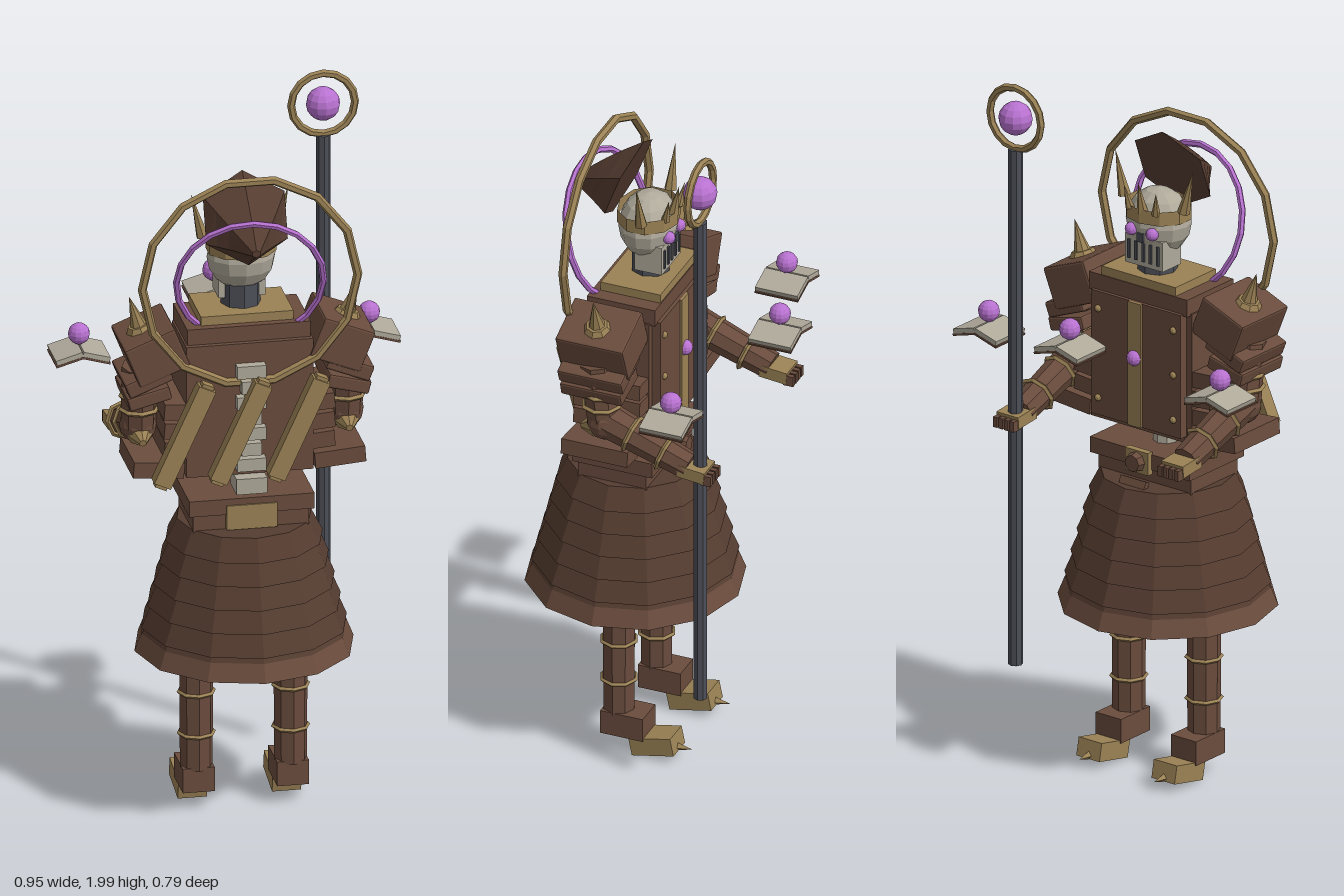
import * as THREE from 'three';
import { RoundedBoxGeometry } from 'three/addons/geometries/RoundedBoxGeometry.js';

const mat = (name, color, flatShading = true) => {
  const m = new THREE.MeshStandardMaterial({ color, flatShading, side: THREE.DoubleSide });
  m.name = name;
  return m;
};

export function createModel() {
  const root = new THREE.Group();
  root.name = 'armouredMage';
  const leather = mat('leather', 0x6a4c3d);
  const cloth = mat('dark cloth', 0x553c30);
  const gold = mat('old gold', 0x9b8255);
  const bone = mat('bone', 0xb0aa9b);
  const violet = mat('violet', 0xb872d0);
  const iron = mat('dark iron', 0x4c4f58);

  // Helpers
  const add = (name, geo, m, p = [0, 0, 0], r = [0, 0, 0], parent = root) => {
    const mesh = new THREE.Mesh(geo, m);
    mesh.name = name;
    mesh.position.set(...p);
    mesh.rotation.set(...r);
    parent.add(mesh);
    return mesh;
  };
  const box = (name, s, m, p, r, parent) => add(name, new THREE.BoxGeometry(...s), m, p, r, parent);
  const plate = (name, s, m, p, r, parent) =>
    add(name, new RoundedBoxGeometry(...s, 1, 0.006), m, p, r, parent);
  const ball = (name, r, m, p, parent) => add(name, new THREE.SphereGeometry(r, 12, 8), m, p, [0, 0, 0], parent);
  const limb = (name, a, b, ra, rb, m, sides = 8) => {
    const A = new THREE.Vector3(...a), B = new THREE.Vector3(...b), d = B.clone().sub(A);
    const mesh = add(name, new THREE.CylinderGeometry(rb, ra, d.length(), sides), m);
    mesh.position.copy(A).add(B).multiplyScalar(0.5);
    mesh.quaternion.setFromUnitVectors(new THREE.Vector3(0, 1, 0), d.normalize());
    return mesh;
  };

  // Tiered twelve-sided skirt
  const tiers = 6, top = 0.85, step = 0.375 / tiers;
  const profile = [[0.001, top], [0.185, top]];
  for (let i = 0; i < tiers; i++) {
    const y = top - (i + 1) * step, r = 0.2 + 0.1 * (i + 1) / tiers;
    profile.push([r, y]);
    if (i < tiers - 1) profile.push([r - 0.01, y]);
  }
  profile.push([0.001, 0.475]);
  add('skirt', new THREE.LatheGeometry(profile.reverse().map(p => new THREE.Vector2(...p)), 12), cloth, [0, 0, 0.09]);
  add('skirtHem', new THREE.CylinderGeometry(0.282, 0.302, 0.05, 12, 1, true), leather, [0, 0.497, 0.09]);

  // Belt with buckles and hanging sash
  box('lowerBelt', [0.32, 0.06, 0.2], leather, [0, 0.875, 0.09]);
  box('upperBelt', [0.345, 0.045, 0.235], leather, [0, 0.918, 0.085]);
  box('backBuckle', [0.14, 0.07, 0.02], gold, [0, 0.887, 0.197]);
  box('frontBuckle', [0.08, 0.065, 0.02], gold, [0, 0.915, -0.037]);
  add('buckleKnob', new THREE.CylinderGeometry(0.024, 0.03, 0.025, 8), leather, [0, 0.915, -0.055], [-Math.PI / 2, 0, 0]);
  const sash = new THREE.Shape([[-0.045, 0], [0.045, 0], [0.03, -0.14], [0, -0.2], [-0.03, -0.14]]
    .map(p => new THREE.Vector2(...p)));
  add('sash', new THREE.ExtrudeGeometry(sash, { depth: 0.015, bevelEnabled: false }), leather, [0, 0.87, -0.06], [0.42, 0, 0]);

  // Torso, collar and spine
  limb('waist', [0, 0.92, 0.08], [0, 1.02, 0.08], 0.035, 0.035, bone);
  box('pelvisBone', [0.085, 0.045, 0.085], bone, [0, 0.973, 0.16]);
  box('torso', [0.35, 0.38, 0.2], leather, [0, 1.19, 0.075]);
  box('chestPlate', [0.31, 0.36, 0.03], leather, [0, 1.2, -0.035]);
  box('chestStripe', [0.045, 0.36, 0.008], gold, [0, 1.2, -0.053]);
  ball('chestGem', 0.022, violet, [0, 1.22, -0.056]);
  for (const x of [-0.13, 0.13]) for (const y of [1.07, 1.2, 1.33]) ball('rivet', 0.01, gold, [x, y, -0.05]);
  box('shoulderYoke', [0.34, 0.05, 0.2], leather, [0, 1.4, 0.06]);
  box('collar', [0.255, 0.065, 0.175], gold, [0, 1.418, 0.05]);
  for (let i = 0; i < 7; i++) box('vertebra', [i % 2 ? 0.055 : 0.08, 0.036, 0.03], bone, [0, 1.035 + i * 0.045, 0.188]);

  // Slanted scrolls carried on the back
  for (const x of [-0.19, -0.035, 0.125]) {
    const g = new THREE.Group();
    g.name = 'scroll';
    g.position.set(x, 1.14, 0.212);
    g.rotation.z = -0.43;
    root.add(g);
    box('scrollRoll', [0.05, 0.3, 0.042], gold, [0, 0, 0], [0, 0, 0], g);
    for (const y of [-0.15, 0.15]) box('scrollCap', [0.034, 0.02, 0.03], gold, [0, y, 0], [0, 0, 0], g);
  }

  for (const s of [-1, 1]) {
    // Layered shoulder armour with a spike
    plate('pauldron', [0.15, 0.12, 0.2], leather, [s * 0.255, 1.355, 0.08], [0, 0, -s * 0.38]);
    plate('pauldronLame', [0.13, 0.045, 0.19], leather, [s * 0.277, 1.285, 0.08], [0, 0, -s * 0.38]);
    plate('pauldronLame', [0.12, 0.04, 0.18], leather, [s * 0.275, 1.235, 0.08], [0, 0, -s * 0.25]);
    add('spikeBase', new THREE.CylinderGeometry(0.03, 0.048, 0.03, 8), gold, [s * 0.285, 1.405, 0.08], [0, 0, -s * 0.3]);
    add('shoulderSpike', new THREE.ConeGeometry(0.026, 0.1, 8), gold, [s * 0.3, 1.455, 0.08], [0, 0, -s * 0.3]);
    for (let i = 0; i < 4; i++)
      box('sideLame', [i ? 0.07 : 0.14, 0.045, 0.195], leather, [s * (i ? 0.2 : 0.25), 1.026 + i * 0.055, 0.075], [0, 0, s * 0.08]);

    // Arm with bands, hand and fingers
    const x = s * 0.285;
    limb('upperArm', [x, 1.3, 0.08], [x, 1.12, 0.06], 0.05, 0.048, leather);
    ball('elbow', 0.052, leather, [x, 1.12, 0.055]);
    limb('elbowCap', [x, 1.1, 0.085], [x, 1.09, 0.125], 0.035, 0.01, gold);
    limb('forearm', [x, 1.125, 0.05], [x, 1.035, -0.19], 0.05, 0.04, leather);
    for (const y of [1.17, 1.21]) add('armBand', new THREE.TorusGeometry(0.05, 0.007, 4, 8), gold, [x, y, 0.068], [Math.PI / 2, 0, 0]);
    for (const t of [0.3, 0.7])
      add('forearmBand', new THREE.TorusGeometry(0.049, 0.007, 4, 8), gold, [x, 1.125 - 0.09 * t, 0.05 - 0.24 * t], [-0.36, 0, 0]);
    box('hand', [0.075, 0.035, 0.08], gold, [x, 1.03, -0.208], [-0.1, 0, 0]);
    for (let i = 0; i < 4; i++)
      box('finger', [0.014, 0.03, 0.03], leather, [x + (i - 1.5) * 0.019, 1.02, -0.252]);

    // Leg, knee guard and pointed boot
    const lx = s * 0.13;
    limb('thigh', [lx, 0.42, 0.09], [lx, 0.6, 0.09], 0.04, 0.05, gold);
    add('kneeGuard', new THREE.ConeGeometry(0.035, 0.08, 6), gold, [lx, 0.452, 0.015], [-Math.PI / 2, 0, 0]);
    limb('shin', [lx, 0.12, 0.083], [lx, 0.43, 0.083], 0.045, 0.047, leather);
    for (const y of [0.22, 0.34])
      add('shinBand', new THREE.TorusGeometry(0.048, 0.006, 4, 8), gold, [lx, y, 0.083], [Math.PI / 2, 0, 0]);
    box('boot', [0.088, 0.07, 0.125], leather, [lx, 0.093, 0.057]);
    box('toe', [0.08, 0.052, 0.125], gold, [lx, 0.044, -0.028], [0.2, 0, 0]);
    add('toeTip', new THREE.ConeGeometry(0.014, 0.05, 4), gold, [lx, 0.04, -0.108], [-Math.PI / 2, 0, 0]);
  }

  // Skull with crown, eyes and teeth
  limb('neck', [0, 1.43, 0.045], [0, 1.53, 0.045], 0.055, 0.055, iron);
  const skull = ball('skull', 0.095, bone, [0, 1.59, 0.05]);
  skull.scale.set(1, 1, 0.85);
  box('jaw', [0.13, 0.085, 0.08], bone, [0, 1.515, 0.025]);
  for (let i = 0; i < 5; i++)
    box('toothGap', [0.008, 0.055, 0.006], iron, [(i - 2) * 0.025, 1.515, -0.017]);
  box('noseHole', [0.02, 0.025, 0.008], iron, [0, 1.562, -0.03]);
  for (const s of [-1, 1]) {
    ball('eye', 0.018, violet, [s * 0.036, 1.578, -0.024]);
    add('crownHorn', new THREE.ConeGeometry(0.018, 0.13, 6), gold, [s * 0.118, 1.705, 0.03], [0, 0, -s * 0.25]);
    add('crownSpike', new THREE.ConeGeometry(0.013, 0.07, 6), gold, [s * 0.05, 1.67, -0.025], [-0.2, 0, -s * 0.15]);
  }
  add('crownBand', new THREE.CylinderGeometry(0.097, 0.097, 0.04, 10, 1, true), gold, [0, 1.625, 0.05]).scale.z = 0.88;
  add('crownSpike', new THREE.ConeGeometry(0.016, 0.09, 6), gold, [0, 1.68, -0.03], [-0.2, 0, 0]);

  // Hood: skewed cone running back to a drooping tip
  const hood = new THREE.CylinderGeometry(0.012, 0.13, 1, 6, 4);
  const hp = hood.attributes.position;
  for (let i = 0; i < hp.count; i++) {
    const t = hp.getY(i) + 0.5, u = hp.getZ(i);
    hp.setXYZ(i, hp.getX(i), 1.72 - 0.045 * t + u * 0.93, 0.11 + 0.155 * t - u * 0.35 * (1 - t));
  }
  // Axis swap mirrors nothing visible because the cloth is double sided
  const idx = hood.index.array;
  for (let i = 0; i < idx.length; i += 3) [idx[i], idx[i + 1]] = [idx[i + 1], idx[i]];
  hood.computeVertexNormals();
  const e = new THREE.Vector3().fromBufferAttribute(hp, idx[1]).sub(new THREE.Vector3().fromBufferAttribute(hp, idx[0]));
  const f = new THREE.Vector3().fromBufferAttribute(hp, idx[2]).sub(new THREE.Vector3().fromBufferAttribute(hp, idx[0]));
  const centre = new THREE.Vector3(0, 1.72, 0.13);
  if (e.cross(f).dot(new THREE.Vector3().fromBufferAttribute(hp, idx[0]).sub(centre)) < 0) {
    for (let i = 0; i < idx.length; i += 3) [idx[i], idx[i + 1]] = [idx[i + 1], idx[i]];
    hood.computeVertexNormals();
  }
  add('hood', hood, cloth);

  // Halos behind the head
  add('outerHalo', new THREE.TorusGeometry(0.297, 0.0125, 6, 14), gold, [0, 1.56, 0.176]);
  add('innerHalo', new THREE.TorusGeometry(0.2, 0.0095, 6, 20), violet, [0, 1.56, 0.175], [0.3, -0.1, 0]);

  // Staff with ringed orb
  limb('staffPole', [0.28, 0.31, -0.22], [0.28, 1.81, -0.22], 0.02, 0.02, iron, 8);
  add('staffRing', new THREE.TorusGeometry(0.088, 0.011, 6, 16), gold, [0.28, 1.9, -0.22]);
  ball('staffOrb', 0.047, violet, [0.28, 1.9, -0.22]);

  // Floating open books, each under a glowing orb
  for (const [x, y, z] of [[-0.4, 1.245, -0.185], [0.4, 1.245, -0.185], [0, 1.34, -0.335]]) {
    const g = new THREE.Group();
    g.name = 'floatingBook';
    g.position.set(x, y, z);
    root.add(g);
    for (const s of [-1, 1]) {
      box('pages', [0.076, 0.014, 0.125], bone, [s * 0.037, 0.004, 0], [0, 0, -s * 0.28], g);
      box('cover', [0.078, 0.006, 0.127], leather, [s * 0.037, -0.006, 0], [0, 0, -s * 0.28], g);
    }
    ball('bookOrb', 0.03, violet, [0, 0.052, 0], g);
  }
  return root;
}
